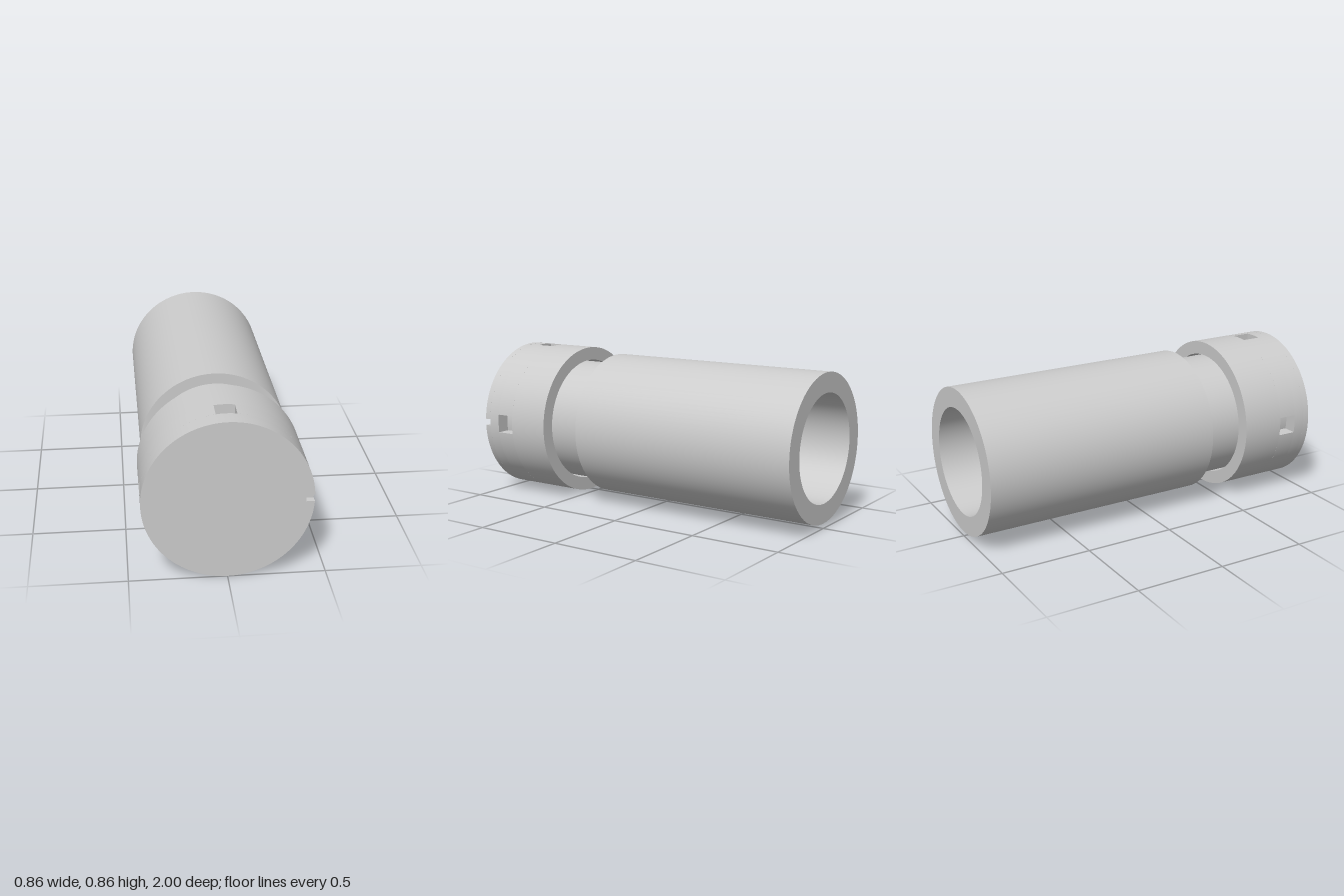
import * as THREE from 'three';
import { toCreasedNormals } from 'three/addons/utils/BufferGeometryUtils.js';

const material = new THREE.MeshStandardMaterial({ color: 0xcccccc });
const CAP_R = 0.43, CAP_BORE = 0.355;

function addMesh(parent, name, geometry) {
  const mesh = new THREE.Mesh(toCreasedNormals(geometry, 0.5), material);
  mesh.name = name;
  parent.add(mesh);
}

// Turned part: profile of [radius, z] pairs around the z axis
function turned(profile, segments) {
  const points = profile.map(([r, z]) => new THREE.Vector2(r, z));
  return new THREE.LatheGeometry(points, segments).rotateX(Math.PI / 2);
}

// Slab of a shape between two z positions
function slab(shape, z0, z1, curveSegments) {
  return new THREE.ExtrudeGeometry(shape, { depth: z1 - z0, bevelEnabled: false, curveSegments })
    .translate(0, 0, z0);
}

export function createModel() {
  const group = new THREE.Group();
  const axis = new THREE.Group();
  axis.name = 'connector';
  axis.position.y = CAP_R;
  group.add(axis);

  // Barrel with blind bore at the back and stepped neck at the front
  addMesh(axis, 'barrel', turned([
    [0, -0.54], [0.295, -0.54], [0.295, -1], [0.403, -1], [0.403, 0.345],
    [0.345, 0.345], [0.345, 0.95], [0, 0.95]
  ], 96));

  // Hollow contact pin inside the bore
  addMesh(axis, 'contactPin', turned([
    [0.04, -0.54], [0.04, -0.82], [0.048, -0.82], [0.048, -0.54]
  ], 32));

  const cap = new THREE.Group();
  cap.name = 'cap';
  axis.add(cap);

  // Cap sleeve behind and in front of the windows
  for (const [name, z0, z1] of [['capRearSleeve', 0.555, 0.795], ['capFrontSleeve', 0.9, 0.965]]) {
    addMesh(cap, name, turned([
      [CAP_BORE, z1], [CAP_BORE, z0], [CAP_R, z0], [CAP_R, z1], [CAP_BORE, z1]
    ], 96));
  }

  // Four wall sectors leaving square windows at the sides, top and bottom
  const half = 0.0525;
  const a = Math.asin(half / CAP_R), b = Math.asin(half / CAP_BORE);
  const sector = new THREE.Shape();
  sector.absarc(0, 0, CAP_R, a, Math.PI / 2 - a, false);
  sector.absarc(0, 0, CAP_BORE, Math.PI / 2 - b, b, true);
  for (let i = 0; i < 4; i++) {
    addMesh(cap, 'windowWall', slab(sector, 0.795, 0.9, 24).rotateZ(i * Math.PI / 2));
  }

  // Front disc with a small index notch on the left edge
  const n = 0.0185, c = Math.asin(n / CAP_R);
  const disc = new THREE.Shape();
  disc.absarc(0, 0, CAP_R, c, 2 * Math.PI - c, false);
  disc.lineTo(0.387, -n);
  disc.lineTo(0.387, n);
  addMesh(cap, 'capFace', slab(disc, 0.965, 1, 96));

  return group;
}
